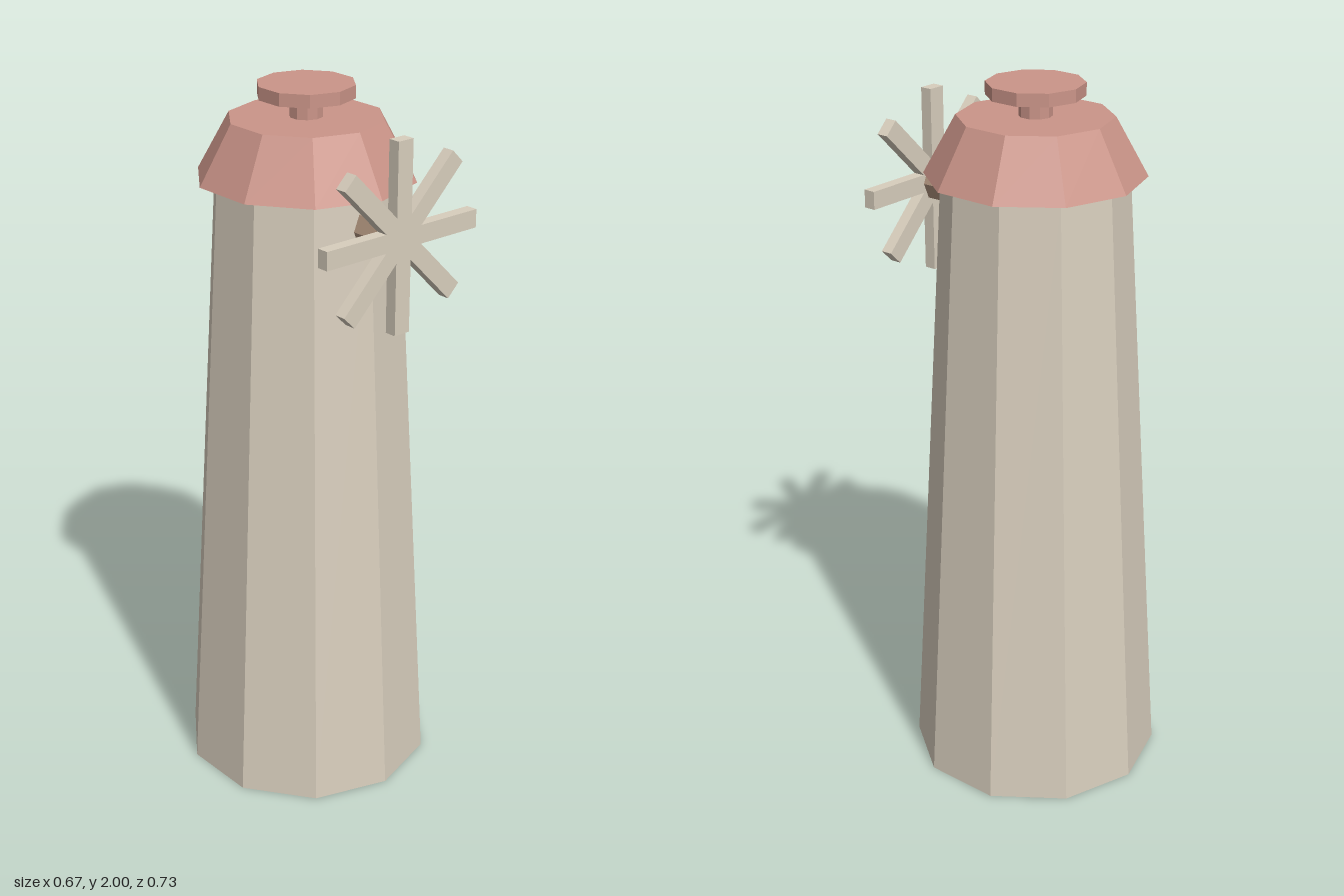
import * as THREE from 'three';

export function createModel() {
  const model = new THREE.Group();
  model.name = 'windmill';

  const material = (name, color) => {
    const m = new THREE.MeshStandardMaterial({ color, flatShading: true });
    m.name = name;
    return m;
  };
  const stone = material('pale stone', 0xd8cebd);
  const red = material('roof red', 0xcb9589);
  const wood = material('hub brown', 0xb0947e);

  const add = (parent, name, geometry, mat, x, y, z) => {
    const mesh = new THREE.Mesh(geometry, mat);
    mesh.name = name;
    mesh.position.set(x, y, z);
    parent.add(mesh);
    return mesh;
  };

  // Ten-sided stacked body: name, top radius, bottom radius, bottom y, top y
  const bodyZ = -0.013;
  const stack = [
    ['tower', 0.252, 0.354, 0, 1.752, stone],
    ['roof', 0.21, 0.298, 1.752, 1.911, red],
    ['roofNeck', 0.045, 0.045, 1.911, 1.965, red],
    ['roofCap', 0.132, 0.132, 1.965, 2, red],
  ];
  for (const [name, top, bottom, y0, y1, mat] of stack) {
    const geometry = new THREE.CylinderGeometry(top, bottom, y1 - y0, 10);
    add(model, name, geometry, mat, 0, (y0 + y1) / 2, bodyZ);
  }

  // Hub joining the tower to the sails
  const hubY = 1.672, hubBack = 0.245, hubFront = 0.334;
  const hubGeometry = new THREE.CylinderGeometry(0.06, 0.06, hubFront - hubBack, 8);
  hubGeometry.rotateX(Math.PI / 2);
  add(model, 'hub', hubGeometry, wood, 0, hubY, (hubBack + hubFront) / 2);

  // Four crossed bars give the eight sails
  const sails = new THREE.Group();
  sails.name = 'sails';
  sails.position.set(0, hubY, 0.35);
  model.add(sails);
  for (let i = 0; i < 4; i++) {
    const bar = add(sails, 'sailBar', new THREE.BoxGeometry(0.514, 0.05, 0.034), stone, 0, 0, 0);
    bar.rotation.z = (i * Math.PI) / 4;
  }

  return model;
}
